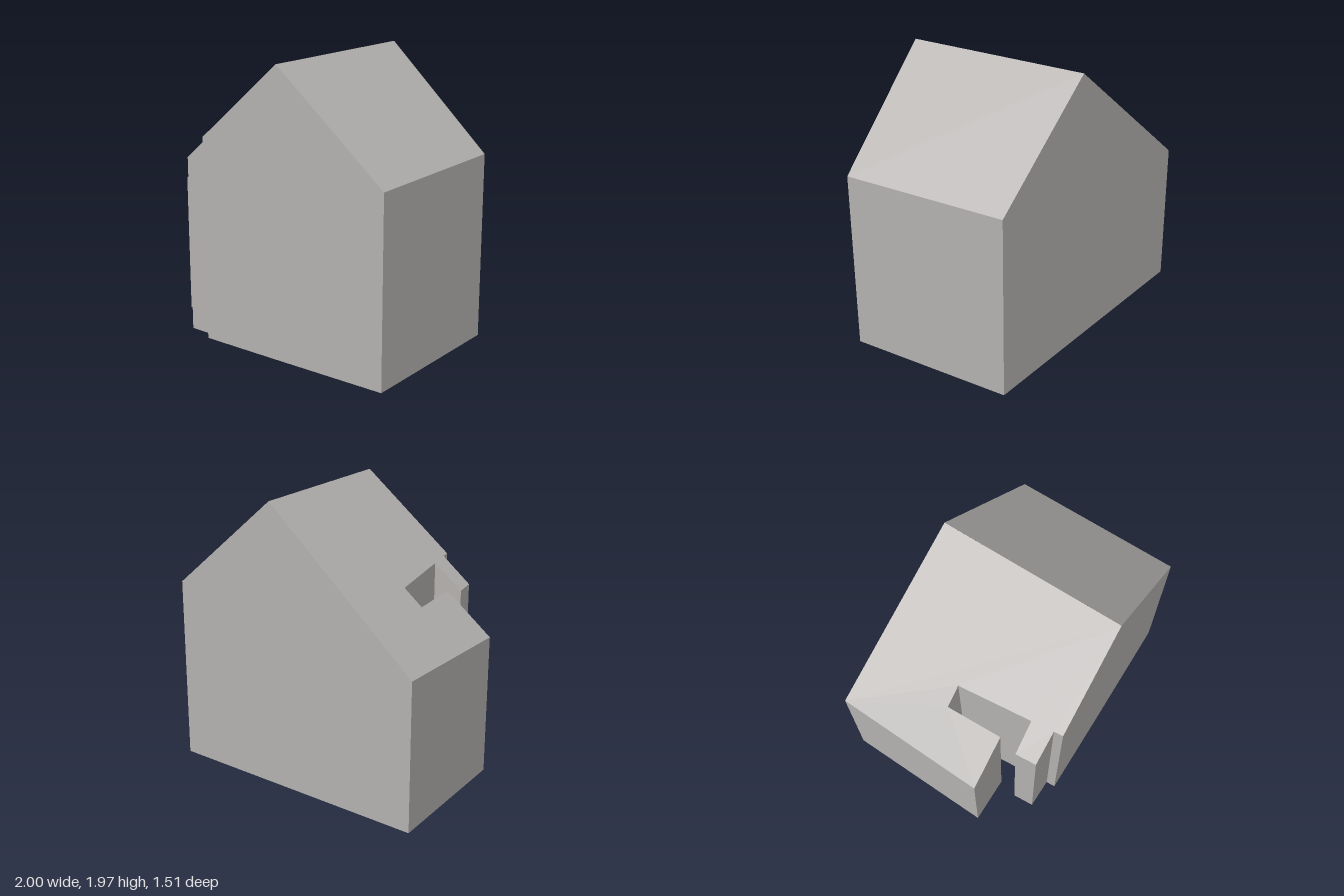
import * as THREE from 'three';

// Footprint corners (x, z), clockwise seen from above
const ridgeBack = [0.2, -0.56];
const ridgeFront = [0.12, 0.715];
const leftPlan = [ridgeBack, [1, -0.415], [0.93, 0.755], ridgeFront];
const rightPlan = [
  ridgeFront, [-0.515, 0.68], [-0.515, 0.615], [-0.72, 0.6], // front wall and small step
  [-0.72, 0.45], [-0.52, 0.455], [-0.53, -0.075], [-0.66, -0.085], [-0.675, 0.315], // notch
  [-1, 0.295], [-0.9, -0.76], ridgeBack,
];

// Roof slopes: planes meeting at the ridge
const slope = (a, b) => ([x, z]) => 1.96 + a * (x - 0.12) + b * (z - 0.715);
const leftSlope = slope(-0.8365, -0.0605);
const rightSlope = slope(0.849, 0.0454);
const ground = () => 0;

function toGeometry(points) {
  const geometry = new THREE.BufferGeometry();
  geometry.setAttribute('position', new THREE.Float32BufferAttribute(points.flat(), 3));
  geometry.computeVertexNormals();
  return geometry;
}

// Flat surface over a plan, facing up or down
function surface(plan, height, up) {
  const outline = plan.map(([x, z]) => new THREE.Vector2(x, z));
  const points = [];
  for (const [i, j, k] of THREE.ShapeUtils.triangulateShape(outline.slice(), [])) {
    const area = THREE.ShapeUtils.area([outline[i], outline[j], outline[k]]);
    const order = (area < 0) === up ? [i, j, k] : [i, k, j];
    for (const n of order) points.push([plan[n][0], height(plan[n]), plan[n][1]]);
  }
  return toGeometry(points);
}

// Upright walls along the plan, from the ground to the roof slope
function walls(plan, height) {
  const points = [];
  for (let i = 0; i < plan.length - 1; i++) {
    const p = plan[i], q = plan[i + 1];
    const at = (c, y) => [c[0], y, c[1]];
    const p0 = at(p, 0), q0 = at(q, 0), p1 = at(p, height(p)), q1 = at(q, height(q));
    points.push(q0, p0, p1, q0, p1, q1);
  }
  return toGeometry(points);
}

export function createModel() {
  const group = new THREE.Group();
  group.name = 'gabledHouse';
  const stone = new THREE.MeshStandardMaterial({ color: 0xb4b1af });
  stone.name = 'warm grey';

  const add = (name, geometry) => {
    const mesh = new THREE.Mesh(geometry, stone);
    mesh.name = name;
    group.add(mesh);
  };

  for (const [side, plan, height] of [['left', leftPlan, leftSlope], ['right', rightPlan, rightSlope]]) {
    add(side + 'Walls', walls(plan, height));
    add(side + 'Roof', surface(plan, height, true));
    add(side + 'Floor', surface(plan, ground, false));
  }
  return group;
}
